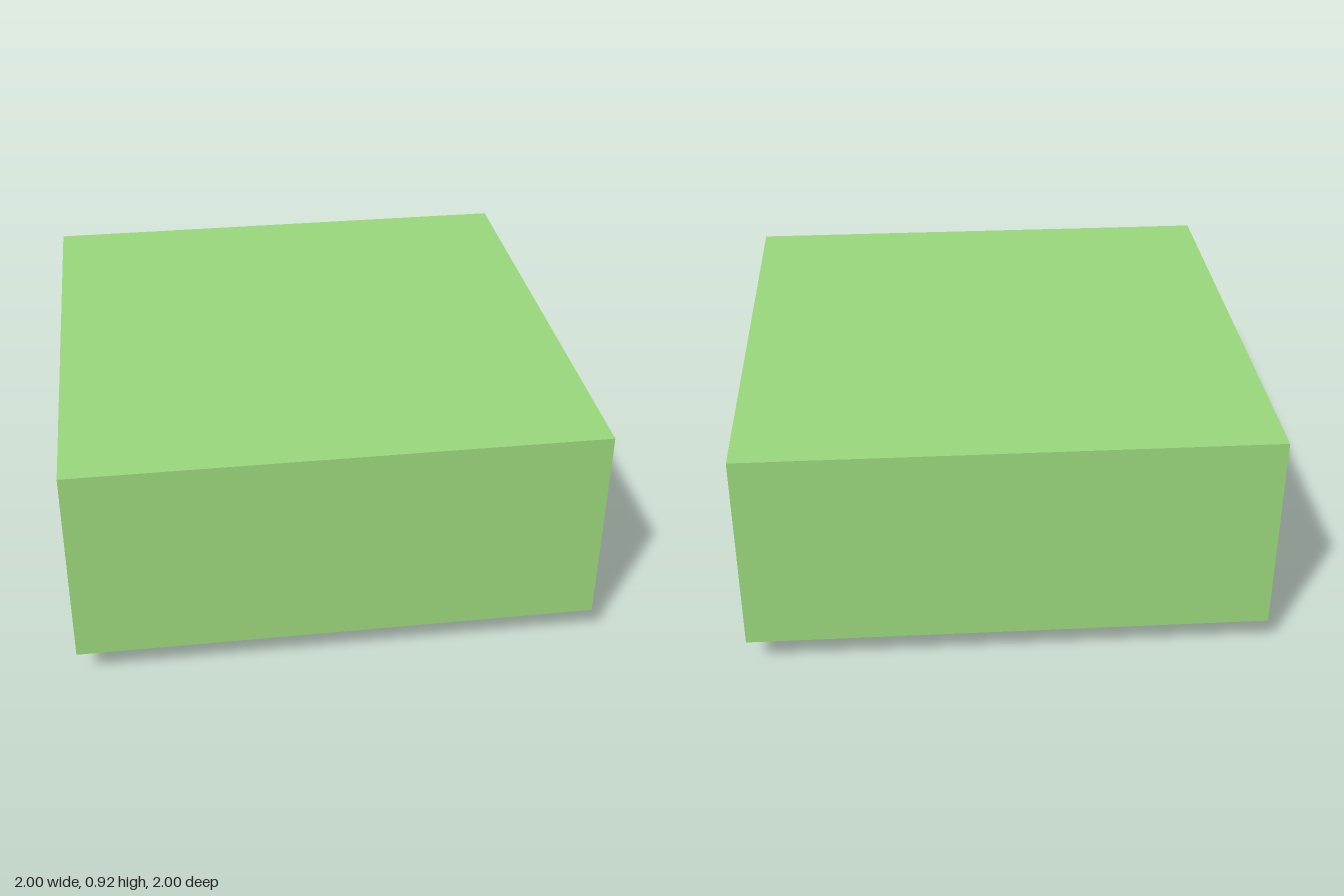
import * as THREE from 'three';
import { toCreasedNormals } from 'three/addons/utils/BufferGeometryUtils.js';

const green = new THREE.MeshStandardMaterial({ color: 0x99d67a });
const greenThin = new THREE.MeshStandardMaterial({ color: 0x99d67a, side: THREE.DoubleSide });

function add(group, name, geometry, material = green) {
  const mesh = new THREE.Mesh(geometry, material);
  mesh.name = name;
  group.add(mesh);
  return mesh;
}

// Profile of [radius, height] pairs turned about y, with crisp edges
function turned(profile, segments, start = 0, scale = 1) {
  const pts = profile.map(([r, y]) => new THREE.Vector2(r * scale, y));
  return toCreasedNormals(new THREE.LatheGeometry(pts, segments, start), 0.4);
}

// Square outline with corner radius r
function roundedSquare(target, half, r) {
  const k = half - r;
  target.absarc(k, k, r, 0, Math.PI / 2);
  target.absarc(-k, k, r, Math.PI / 2, Math.PI);
  target.absarc(-k, -k, r, Math.PI, Math.PI * 1.5);
  target.absarc(k, -k, r, Math.PI * 1.5, Math.PI * 2);
  target.closePath();
  return target;
}

// Flat plate hanging down from height top
function plate(shape, top, depth) {
  const g = new THREE.ExtrudeGeometry(shape, { depth, bevelEnabled: false, curveSegments: 24 });
  g.rotateX(Math.PI / 2);
  g.translate(0, top, 0);
  return toCreasedNormals(g, 0.4);
}

// Sloped swirl blade: a strip curving from the hub out to the ring
function bladeGeometry(r0, r1, swirl, pitch) {
  const steps = 14, pos = [], index = [];
  for (let i = 0; i <= steps; i++) {
    const t = i / steps;
    const r = r0 + (r1 - r0) * t;
    const a = swirl * Math.sin(t * Math.PI * 0.75);
    const low = 0.075 + 0.015 * t;
    for (const [da, y] of [[0, low], [pitch * 0.35, low + 0.012], [pitch * 0.8, 0.143]]) {
      pos.push(r * Math.cos(a + da), y, r * Math.sin(a + da));
    }
    if (i < steps) {
      for (let j = 0; j < 2; j++) {
        const p = i * 3 + j;
        index.push(p, p + 1, p + 3, p + 1, p + 4, p + 3);
      }
    }
  }
  const g = new THREE.BufferGeometry();
  g.setAttribute('position', new THREE.Float32BufferAttribute(pos, 3));
  g.setIndex(index);
  g.computeVertexNormals();
  return g;
}

export function createModel() {
  const model = new THREE.Group();
  model.name = 'ceilingDiffuser';

  // Box body with a shallow moulded border on its underside
  add(model, 'plenumBox', turned([
    [0, 0.145], [0.88, 0.145], [0.88, 0.125], [0.9, 0.13], [0.94, 0.13],
    [0.96, 0.12], [1, 0.12], [1, 0.92], [0, 0.92],
  ], 4, Math.PI / 4, Math.SQRT2));

  // Face panel, split by a rounded square groove
  const outer = new THREE.Shape();
  outer.moveTo(-0.88, -0.88).lineTo(0.88, -0.88).lineTo(0.88, 0.88).lineTo(-0.88, 0.88);
  outer.closePath();
  outer.holes.push(roundedSquare(new THREE.Path(), 0.785, 0.34));
  add(model, 'outerPanel', plate(outer, 0.145, 0.02));

  const inner = roundedSquare(new THREE.Shape(), 0.765, 0.32);
  inner.holes.push(new THREE.Path().absarc(0, 0, 0.66, 0, Math.PI * 2, true));
  add(model, 'innerPanel', plate(inner, 0.145, 0.02));

  // Round collar with a chamfered lip
  add(model, 'collarRing', turned([
    [0.63, 0.145], [0.64, 0.035], [0.655, 0.035], [0.695, 0.065], [0.695, 0.145],
  ], 96));

  // Ring of swirl blades
  const blades = new THREE.Group();
  blades.name = 'swirlBlades';
  const count = 40;
  const blade = bladeGeometry(0.07, 0.625, 0.4, Math.PI * 2 / count);
  for (let i = 0; i < count; i++) {
    add(blades, 'blade', blade, greenThin).rotation.y = i * Math.PI * 2 / count;
  }
  model.add(blades);

  // Stepped hub and centre knob
  add(model, 'hub', turned([
    [0, 0.062], [0.05, 0.062], [0.055, 0.07], [0.085, 0.07], [0.09, 0.078], [0.09, 0.145],
  ], 40));
  add(model, 'centreKnob', new THREE.SphereGeometry(0.045, 32, 20)).position.y = 0.045;

  return model;
}
